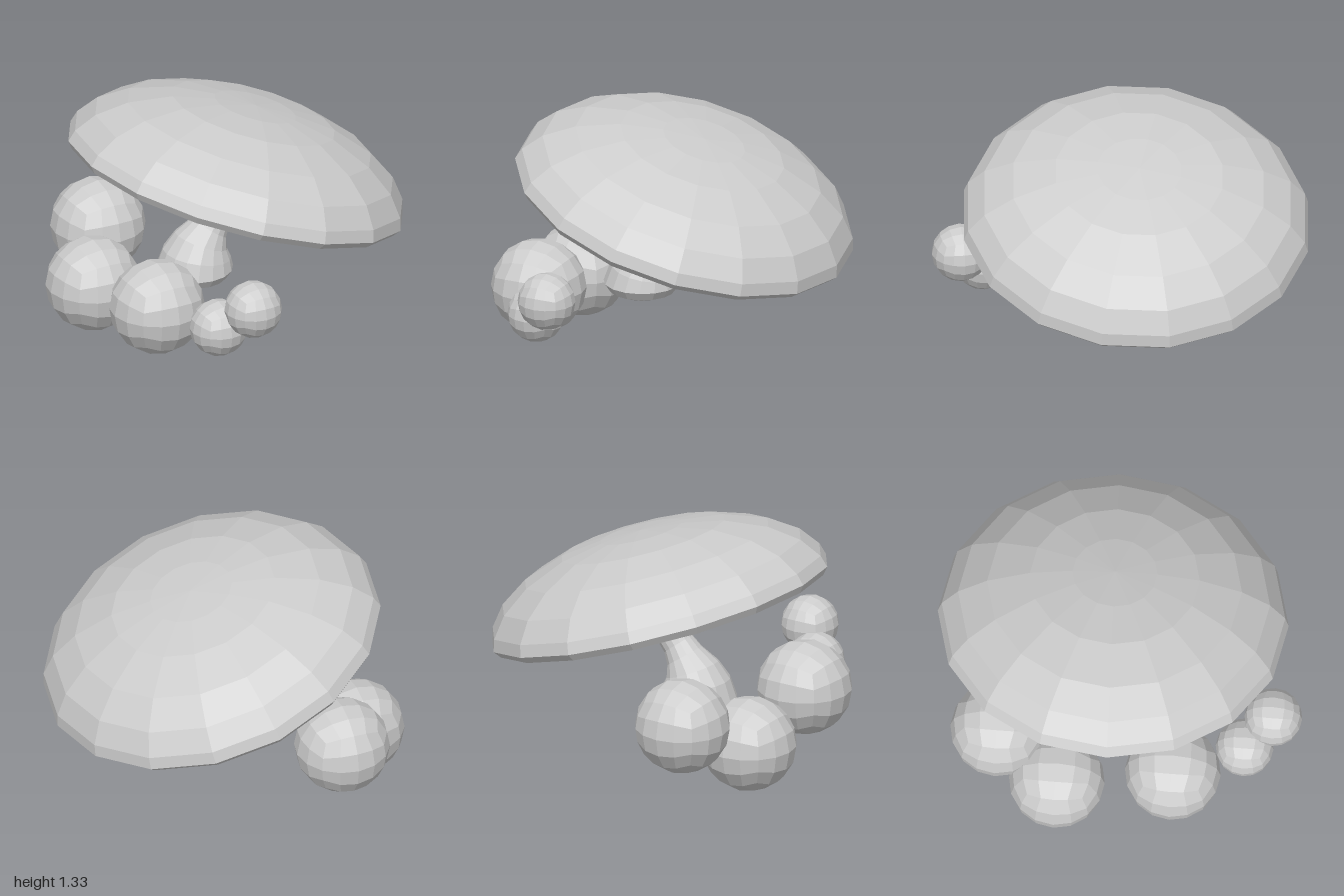
import * as THREE from 'three';

const stone = new THREE.MeshStandardMaterial({ color: 0xcccccc });
stone.name = 'light grey';

// One normal per four-sided face (each face is a pair of triangles)
function faceted(geometry) {
  const flat = geometry.toNonIndexed();
  const pos = flat.attributes.position;
  const normal = new Float32Array(pos.count * 3);
  const [a, b, c, sum] = [0, 1, 2, 3].map(() => new THREE.Vector3());
  for (let face = 0; face < pos.count; face += 6) {
    sum.set(0, 0, 0);
    for (let i = face; i < face + 6; i += 3) {
      a.fromBufferAttribute(pos, i);
      b.fromBufferAttribute(pos, i + 1).sub(a);
      c.fromBufferAttribute(pos, i + 2).sub(a);
      sum.add(b.cross(c));
    }
    sum.normalize();
    for (let i = face; i < face + 6; i++) sum.toArray(normal, i * 3);
  }
  flat.setAttribute('normal', new THREE.BufferAttribute(normal, 3));
  return flat;
}

function addPart(group, name, geometry) {
  const mesh = new THREE.Mesh(faceted(geometry), stone);
  mesh.name = name;
  group.add(mesh);
  return mesh;
}

// Ball made of a subdivided cube pushed out to a sphere
function ballGeometry(radius) {
  const geometry = new THREE.BoxGeometry(2, 2, 2, 4, 4, 4);
  const pos = geometry.attributes.position;
  const v = new THREE.Vector3();
  const spread = (t) => Math.tan((t * Math.PI) / 4);
  for (let i = 0; i < pos.count; i++) {
    v.fromBufferAttribute(pos, i);
    v.set(spread(v.x), spread(v.y), spread(v.z)).setLength(radius);
    pos.setXYZ(i, v.x, v.y, v.z);
  }
  return geometry;
}

// Bent stem skinned over round sections: [x, y, radius, lean in degrees]
function stemGeometry(sections, z, sides) {
  const positions = [];
  const index = [];
  sections.forEach(([x, y, r, lean], i) => {
    const t = THREE.MathUtils.degToRad(lean);
    for (let j = 0; j < sides; j++) {
      const a = (j / sides) * Math.PI * 2;
      const across = r * Math.cos(a);
      positions.push(x + across * Math.cos(t), y - across * Math.sin(t), z + r * Math.sin(a));
      if (i === 0) continue;
      const next = (j + 1) % sides;
      const low = (i - 1) * sides;
      const high = i * sides;
      index.push(low + j, high + j, low + next, low + next, high + j, high + next);
    }
  });
  const geometry = new THREE.BufferGeometry();
  geometry.setAttribute('position', new THREE.Float32BufferAttribute(positions, 3));
  geometry.setIndex(index);
  return geometry;
}

export function createModel() {
  const group = new THREE.Group();
  group.name = 'mushroom';

  // Cap: underside flaring out of the stem, bevelled rim, shallow dome
  const capProfile = [
    [0.122, 0], [0.145, 0.055], [0.19, 0.11], [0.27, 0.16], [0.39, 0.19],
    [0.54, 0.188], [0.69, 0.15], [0.82, 0.085], [0.917, -0.006],
    [0.95, 0.034], [0.93, 0.1], [0.845, 0.21], [0.69, 0.317],
    [0.46, 0.404], [0.23, 0.44], [0, 0.45],
  ].map(([r, y]) => new THREE.Vector2(r, y));
  const cap = addPart(group, 'cap', new THREE.LatheGeometry(capProfile, 16));
  cap.position.set(0.038, 0.803, -0.055);
  cap.rotation.set(0, THREE.MathUtils.degToRad(2.3), THREE.MathUtils.degToRad(-17.4), 'ZYX');

  // Stem: bulbous foot and narrow neck, ending inside the underside's flare
  const sections = [
    [-0.205, 0.268, 0.001, 0],
    [-0.205, 0.278, 0.12, 0],
    [-0.205, 0.302, 0.178, 0],
    [-0.205, 0.35, 0.21, 0],
    [-0.19, 0.43, 0.188, 10],
    [-0.165, 0.5, 0.15, 22],
    [-0.115, 0.565, 0.108, 35],
    [-0.075, 0.625, 0.09, 38],
    [-0.02, 0.695, 0.09, 36],
    [0.038, 0.803, 0.122, 17.4],
  ];
  addPart(group, 'stem', stemGeometry(sections, -0.055, 16));

  // Balls gathered round the foot: [x, y, z, radius]
  const balls = new THREE.Group();
  balls.name = 'balls';
  group.add(balls);
  [
    [-0.64, 0.375, 0.325, 0.26],
    [-0.695, 0.26, -0.3, 0.26],
    [-0.485, 0.425, -0.635, 0.26],
    [-0.465, 0.37, 0.7, 0.157],
    [-0.33, 0.51, 0.845, 0.157],
  ].forEach(([x, y, z, radius]) => {
    const name = radius > 0.2 ? 'largeBall' : 'smallBall';
    addPart(balls, name, ballGeometry(radius)).position.set(x, y, z);
  });

  return group;
}
